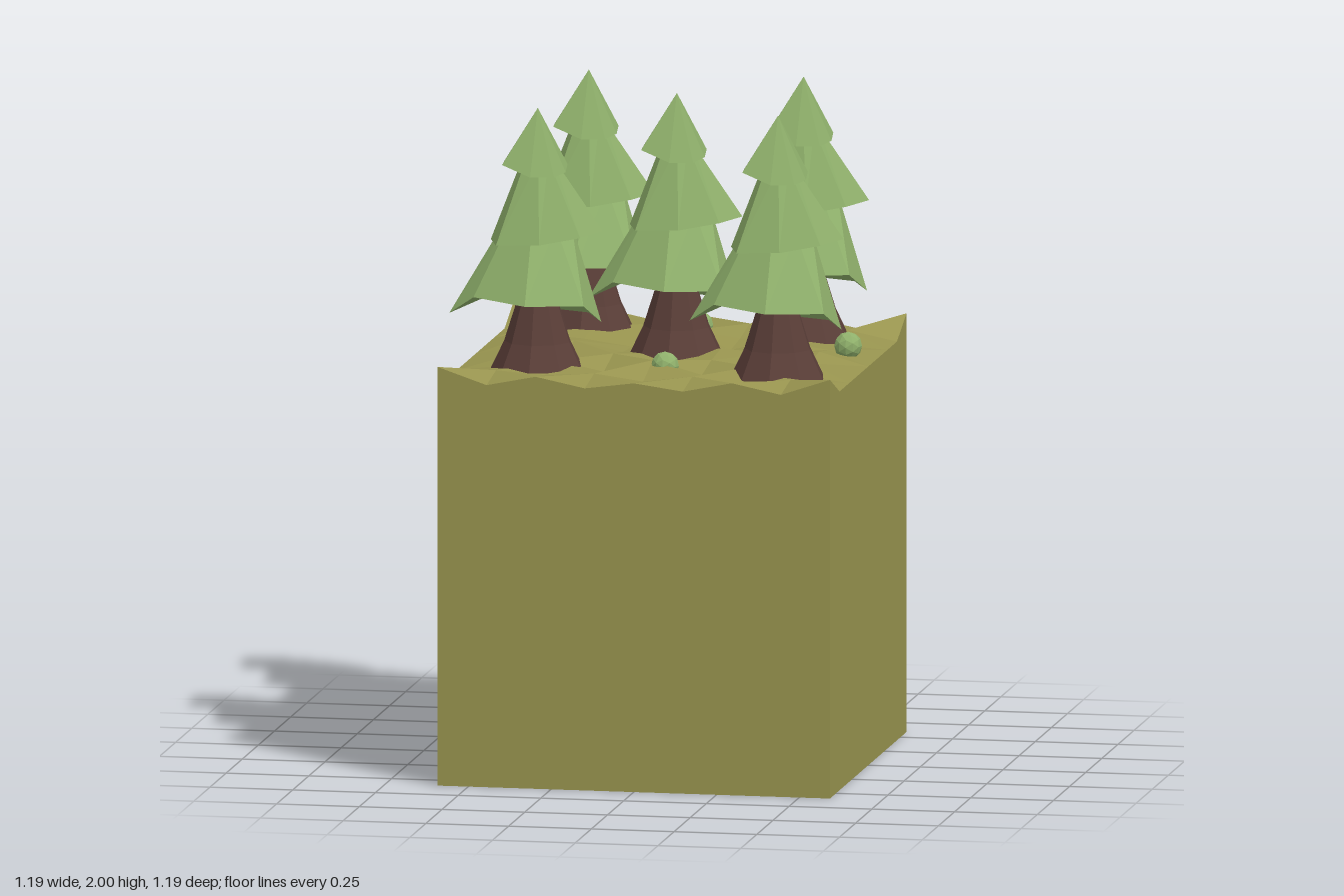
import * as THREE from 'three';

const mat = (name, color, opts = {}) => {
  const m = new THREE.MeshStandardMaterial({ color, flatShading: true, ...opts });
  m.name = name;
  return m;
};

// Non-indexed geometry from a list of [x, y, z] triangle corners
function fromCorners(corners) {
  const g = new THREE.BufferGeometry();
  g.setAttribute('position', new THREE.Float32BufferAttribute(corners.flat(), 3));
  g.computeVertexNormals();
  return g;
}

// Terrain heights on a 9 x 9 grid, back row first, in hundredths above 1.2
const HEIGHTS = [
  '614131416',
  '031314130',
  '014242310',
  '043141420',
  '035224340',
  '031413130',
  '024151420',
  '032313130',
  '614131416',
];
const HALF = 0.593, CELLS = 8;
const at = (i, j) => [
  -HALF + (2 * HALF * i) / CELLS,
  1.2 + Number(HEIGHTS[j][i]) / 100,
  -HALF + (2 * HALF * j) / CELLS,
];

function terrainGeometry() {
  const c = [];
  for (let j = 0; j < CELLS; j++) {
    for (let i = 0; i < CELLS; i++) {
      const [a, b, d, e] = [at(i, j), at(i, j + 1), at(i + 1, j + 1), at(i + 1, j)];
      // alternate the diagonals
      if ((i + j) % 2 === 0) c.push(a, b, d, a, d, e);
      else c.push(a, b, e, b, d, e);
    }
  }
  return fromCorners(c);
}

// Four walls from the jagged rim down to y = 0, open below
function wallGeometry() {
  const c = [];
  const wall = (p, q) => {
    const p0 = [p[0], 0, p[2]], q0 = [q[0], 0, q[2]];
    c.push(p0, q0, q, p0, q, p);
  };
  for (let k = 0; k < CELLS; k++) {
    wall(at(k, CELLS), at(k + 1, CELLS));
    wall(at(k + 1, 0), at(k, 0));
    wall(at(CELLS, k + 1), at(CELLS, k));
    wall(at(0, k), at(0, k + 1));
  }
  return fromCorners(c);
}

// Irregular rim of a foliage tier: x, drop, z
const RIM = [
  [-0.2, 0.0, -0.14], [-0.04, -0.03, -0.18], [0.14, -0.04, -0.16], [0.19, -0.04, -0.01],
  [0.175, 0.04, 0.19], [0.005, 0.04, 0.23], [-0.165, 0.05, 0.15], [-0.25, -0.01, 0.09],
];

// One tier: sloping skirt from a small upper ring to the rim, with a hollow underside
function tierGeometry({ y, top, scale, neck, turn, tilt }) {
  const cos = Math.cos(turn), sin = Math.sin(turn);
  const rim = RIM.map(([x, d, z]) => [
    scale * (x * cos - z * sin), y + d * tilt, scale * (x * sin + z * cos),
  ]);
  const ring = rim.map(([x, , z]) => {
    const r = Math.hypot(x, z);
    return [(x / r) * neck, top, (z / r) * neck];
  });
  const hub = [0, y + 0.1 * scale, 0], cap = [0, top, 0];
  const c = [];
  rim.forEach((p, i) => {
    const n = (i + 1) % rim.length;
    c.push(rim[n], p, ring[i]);
    if (neck > 0) c.push(rim[n], ring[i], ring[n], ring[n], ring[i], cap);
    c.push(p, rim[n], hub);
  });
  return fromCorners(c);
}

export function createModel() {
  const model = new THREE.Group();
  model.name = 'forestBlock';
  const ground = mat('ground', 0x98944f, { side: THREE.DoubleSide });
  const leaf = mat('leaf', 0x8fb06b);
  const bark = mat('bark', 0x5a3e38);

  const add = (parent, name, geometry, material) => {
    const m = new THREE.Mesh(geometry, material);
    m.name = name;
    parent.add(m);
    return m;
  };

  // Earth block
  add(model, 'terrain', terrainGeometry(), ground);
  add(model, 'earthWalls', wallGeometry(), ground);

  // Shared tree parts
  const trunk = new THREE.LatheGeometry(
    [[0.148, 1.2], [0.1, 1.3], [0.062, 1.42], [0.05, 1.62]].map((p) => new THREE.Vector2(...p)), 9);
  const tiers = [
    { y: 1.4, top: 1.66, scale: 1, neck: 0.1, turn: 0, tilt: 1 },
    { y: 1.63, top: 1.85, scale: 0.74, neck: 0.045, turn: Math.PI, tilt: 0.7 },
    { y: 1.82, top: 2, scale: 0.45, neck: 0, turn: 1.7, tilt: 0.4 },
  ].map(tierGeometry);

  // Five trees
  const spots = [[-0.325, -0.378], [0.324, -0.378], [0.01, -0.025], [-0.345, 0.31], [0.38, 0.305]];
  spots.forEach(([x, z]) => {
    const tree = new THREE.Group();
    tree.name = 'tree';
    tree.position.set(x, 0, z);
    add(tree, 'trunk', trunk, bark);
    tiers.forEach((g) => add(tree, 'foliageTier', g, leaf));
    model.add(tree);
  });

  // Small round bushes
  const bush = new THREE.IcosahedronGeometry(0.042, 1);
  [[0.004, -0.403], [-0.45, -0.17], [0.507, -0.13], [0.04, 0.313]].forEach(([x, z]) => {
    add(model, 'bush', bush, leaf).position.set(x, 1.238, z);
  });

  return model;
}
